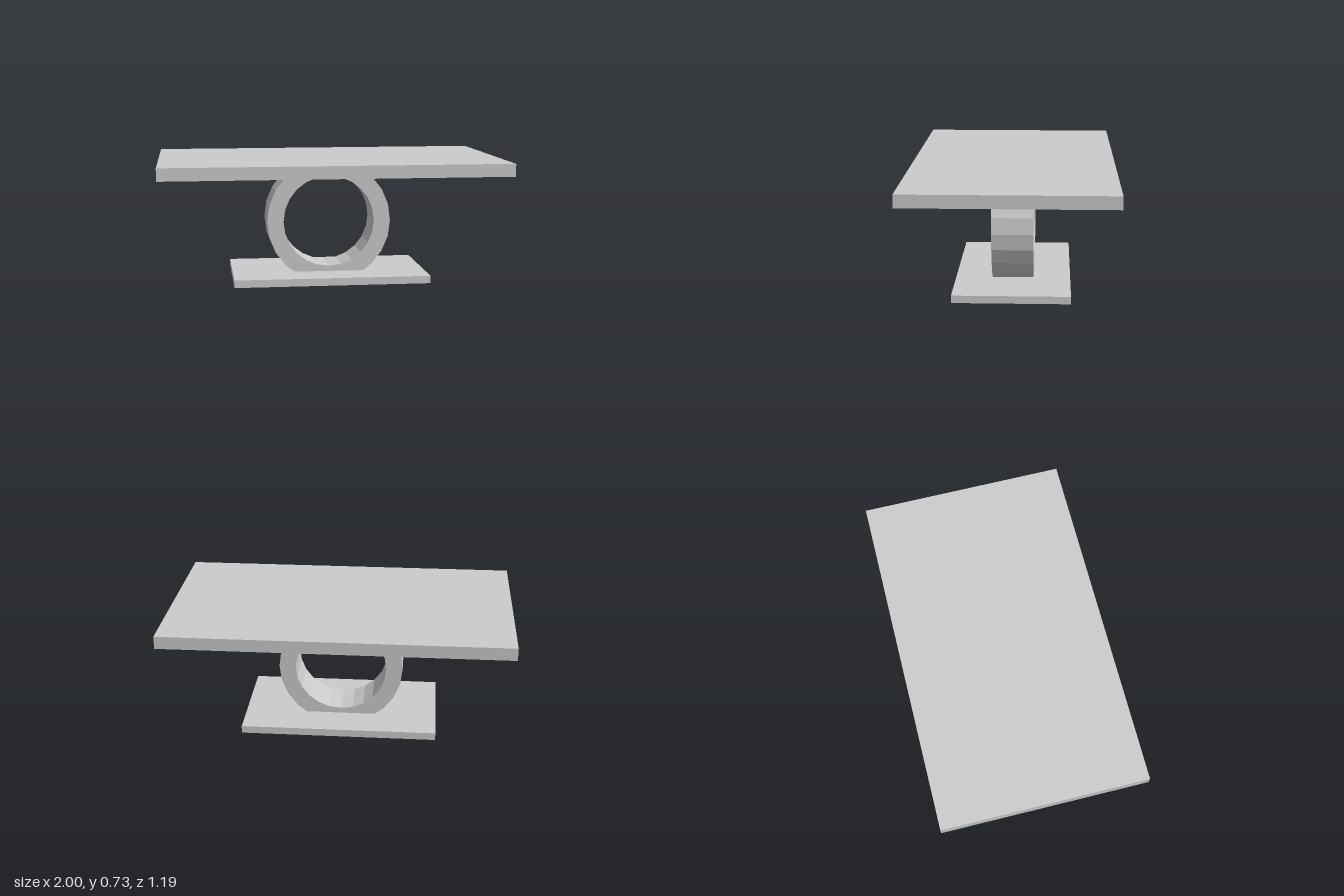
import * as THREE from 'three';

const SIDES = 24;
const RING_Y = 0.347;
const OUTER = 0.369, INNER = 0.271;
const RING_DEPTH = 0.244;
const BASE_TOP = 0.044, SLAB_BOTTOM = 0.652, SLAB_TOP = 0.725;

const ringPoint = (radius, i) => {
  const a = (i / SIDES) * Math.PI * 2;
  return new THREE.Vector2(Math.cos(a) * radius, RING_Y + Math.sin(a) * radius);
};

export function createModel() {
  const model = new THREE.Group();
  model.name = 'table';
  const grey = new THREE.MeshStandardMaterial({ color: 0xcccccc, flatShading: true });
  grey.name = 'light grey';

  const add = (name, geometry, y = 0) => {
    const mesh = new THREE.Mesh(geometry, grey);
    mesh.name = name;
    mesh.position.y = y;
    model.add(mesh);
  };

  // Flat slabs: wide top and smaller foot
  add('tableTop', new THREE.BoxGeometry(2, SLAB_TOP - SLAB_BOTTOM, 1.186), (SLAB_TOP + SLAB_BOTTOM) / 2);
  add('basePlate', new THREE.BoxGeometry(1.15, BASE_TOP, 0.678), BASE_TOP / 2);

  // Ring support: faceted sides, cut flat where it meets the slabs
  const cut = (y, i, j) => {
    const a = ringPoint(OUTER, i), b = ringPoint(OUTER, j);
    return a.lerp(b, (y - a.y) / (b.y - a.y));
  };
  const right = [cut(BASE_TOP, -3, -4)];
  for (let i = -3; i <= 3; i++) right.push(ringPoint(OUTER, i));
  right.push(cut(SLAB_BOTTOM, 3, 4));
  const left = right.map((p) => new THREE.Vector2(-p.x, p.y)).reverse();
  const ring = new THREE.Shape([...right, ...left]);

  const hole = [];
  for (let i = 0; i < SIDES; i++) hole.push(ringPoint(INNER, -i));
  ring.holes.push(new THREE.Path(hole));

  const geometry = new THREE.ExtrudeGeometry(ring, { depth: RING_DEPTH, bevelEnabled: false });
  geometry.translate(0, 0, -RING_DEPTH / 2);
  add('ringSupport', geometry);

  return model;
}
